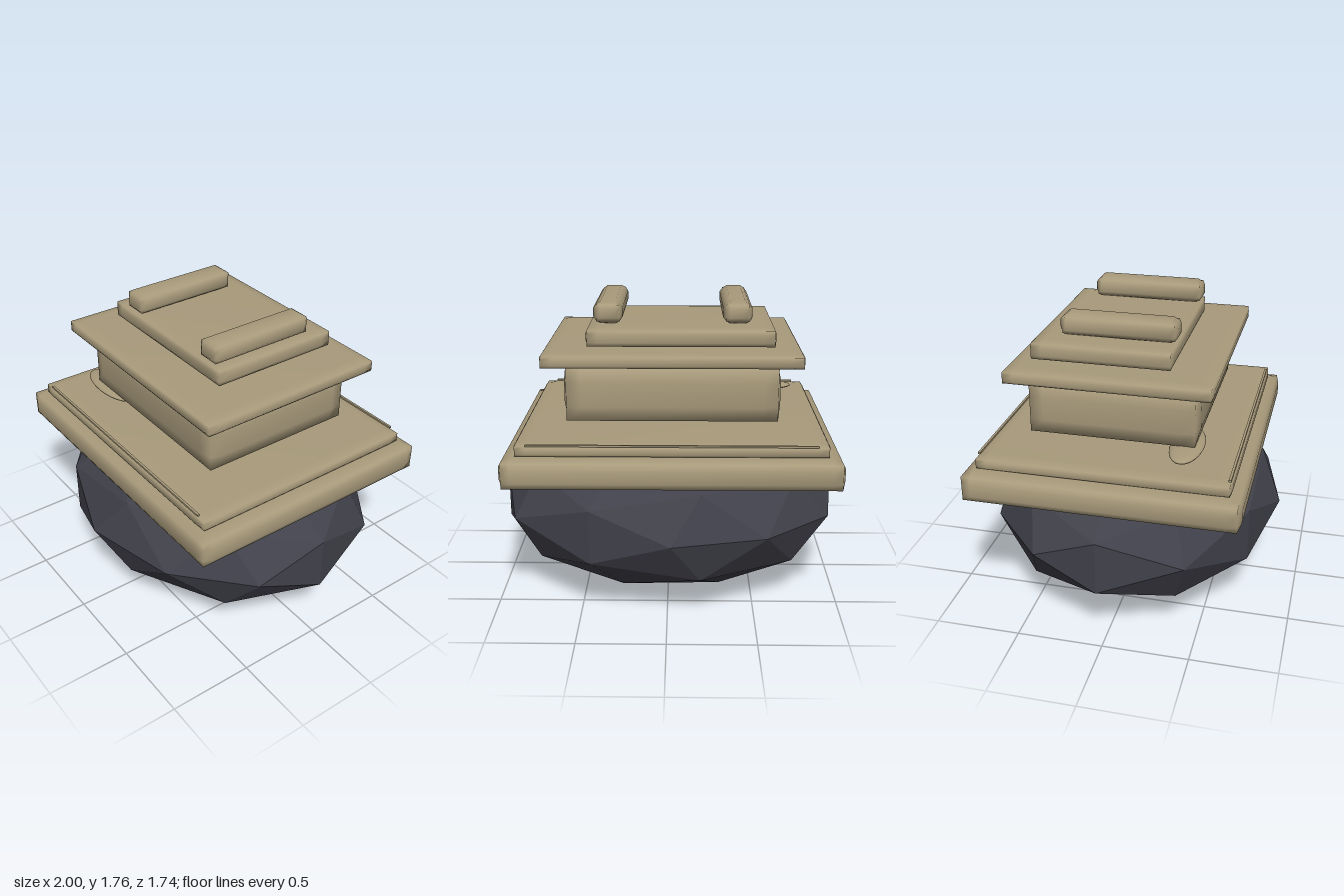
import * as THREE from 'three';
import { mergeVertices } from 'three/addons/utils/BufferGeometryUtils.js';

const stone = new THREE.MeshStandardMaterial({ color: 0xa89a7b });
stone.name = 'sandstone';
const rock = new THREE.MeshStandardMaterial({ color: 0x41414b, flatShading: true });
rock.name = 'dark rock';

// Soft-edged block from min/max bounds: edges are drawn in by a small inset and shaded smoothly
function softBlock([x0, x1], [y0, y1], [z0, z1], inset = 0.015, edge = 0.07) {
  const size = [x1 - x0, y1 - y0, z1 - z0];
  const mid = [(x0 + x1) / 2, (y0 + y1) / 2, (z0 + z1) / 2];
  let geo = new THREE.BoxGeometry(1, 1, 1, 3, 3, 3);
  geo.deleteAttribute('normal');
  geo.deleteAttribute('uv');
  geo = mergeVertices(geo);
  const pos = geo.attributes.position;
  for (let i = 0; i < pos.count; i++) {
    const unit = [pos.getX(i), pos.getY(i), pos.getZ(i)];
    const outer = unit.map((v) => Math.abs(v) > 0.4);
    const onEdge = outer.filter(Boolean).length > 1;
    const p = unit.map((v, k) => {
      const half = size[k] / 2;
      const reach = outer[k] ? half - (onEdge ? inset : 0) : half - Math.min(edge, size[k] * 0.3);
      return mid[k] + Math.sign(v) * reach;
    });
    pos.setXYZ(i, ...p);
  }
  geo.computeVertexNormals();
  return geo;
}

// Faceted boulder: turned icosphere stretched to an uneven ellipsoid
function boulder() {
  const geo = new THREE.IcosahedronGeometry(1, 1);
  geo.rotateY(-THREE.MathUtils.degToRad(58.28));
  const pos = geo.attributes.position;
  for (let i = 0; i < pos.count; i++) {
    const x = pos.getX(i), y = pos.getY(i), z = pos.getZ(i);
    pos.setXYZ(i,
      -0.02 + x * (x > 0 ? 1.073 : 1.03),
      0.515 + y * 0.515,
      -0.03 * (1 - Math.abs(z)) + z * 0.87);
  }
  geo.computeVertexNormals();
  return geo;
}

export function createModel() {
  const group = new THREE.Group();
  const add = (name, geo, mat = stone) => {
    const mesh = new THREE.Mesh(geo, mat);
    mesh.name = name;
    group.add(mesh);
    return mesh;
  };

  add('boulder', boulder(), rock);

  // Stacked slabs
  add('baseSlab', softBlock([-0.97, 0.92], [0.805, 0.985], [-0.81, 0.745], 0.018));
  add('baseStep', softBlock([-0.89, 0.84], [0.98, 1.055], [-0.74, 0.68], 0.01));
  add('body', softBlock([-0.635, 0.585], [1.105, 1.44], [-0.515, 0.455], 0.018, 0.1));
  add('eave', softBlock([-0.75, 0.7], [1.44, 1.522], [-0.61, 0.545], 0.01));
  add('roofSlab', softBlock([-0.6, 0.455], [1.535, 1.642], [-0.495, 0.3], 0.01));

  // Thin raised trims along the front and back of the step
  for (const [name, z] of [['frontTrim', 0.662], ['backTrim', -0.731]]) {
    const trim = add(name, new THREE.BoxGeometry(1.59, 0.01, 0.014));
    trim.position.set(-0.025, 1.053, z);
  }

  // Roof bars
  for (const [name, x] of [['rightRoofBar', -0.39], ['leftRoofBar', 0.338]]) {
    add(name, softBlock([x - 0.082, x + 0.082], [1.642, 1.765], [-0.36, 0.3], 0.016, 0.04));
  }

  // Flat pebble lying by the front corner
  const pebble = add('pebble', new THREE.SphereGeometry(1, 24, 12));
  pebble.scale.set(0.23, 0.026, 0.095);
  pebble.position.set(-0.55, 1.1, 0.385);

  return group;
}
